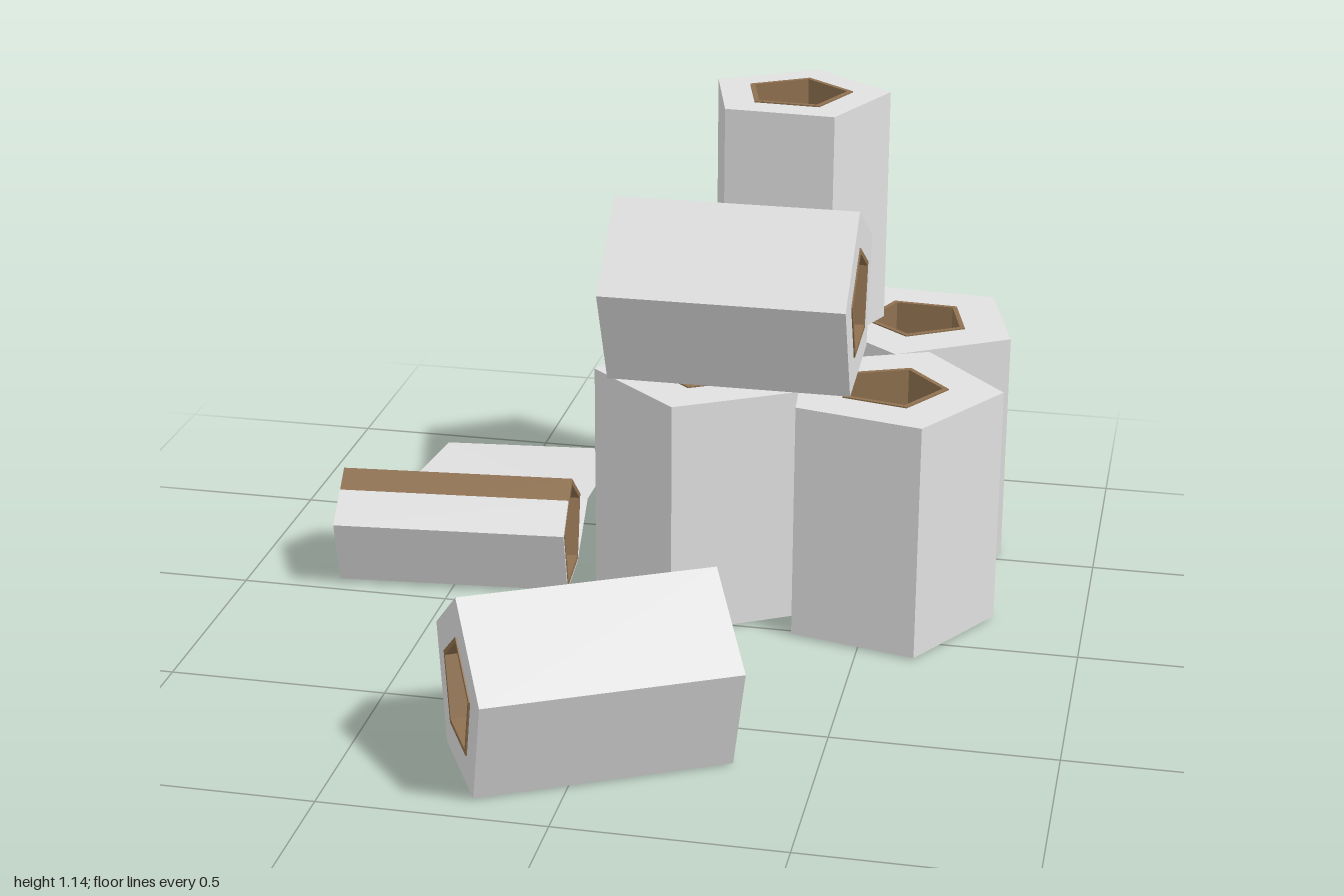
import * as THREE from 'three';

const paper = new THREE.MeshStandardMaterial({ color: 0xe0e0e0 });
paper.name = 'white paper';
const card = new THREE.MeshStandardMaterial({ color: 0x8f7150 });
card.name = 'brown cardboard';
const sheetPaper = paper.clone();
sheetPaper.name = 'white sheet paper';
sheetPaper.side = THREE.DoubleSide;

const rad = THREE.MathUtils.degToRad;
const CORE = 0.132, BORE = 0.118;

const corner = (r, deg) => new THREE.Vector2(r * Math.cos(rad(deg)), r * Math.sin(rad(deg)));
const pentagon = (r, deg) => [0, 1, 2, 3, 4].map((i) => corner(r, deg + i * 72));

// Extrudes a shape along z, centred on the origin
function extrude(name, shape, length, material) {
  const geo = new THREE.ExtrudeGeometry(shape, { depth: length, bevelEnabled: false });
  geo.translate(0, 0, -length / 2);
  const mesh = new THREE.Mesh(geo, material);
  mesh.name = name;
  return mesh;
}

// Hollow five-sided prism
function ring(name, outer, inner, deg, length, material) {
  const shape = new THREE.Shape(pentagon(outer, deg));
  shape.holes.push(new THREE.Path(pentagon(inner, deg).reverse()));
  return extrude(name, shape, length, material);
}

// Full roll: paper around a cardboard core
function roll(name, r, deg) {
  const g = new THREE.Group();
  g.name = name;
  g.add(ring('paperWrap', r, CORE, deg, 0.565, paper));
  g.add(ring('cardboardCore', CORE, BORE, deg, 0.571, card));
  return g;
}

// Thin sheet through rows of [left, right] points
function sheet(name, rows) {
  const tri = [];
  for (let i = 0; i < rows.length - 1; i++) {
    const [a, b] = rows[i], [c, d] = rows[i + 1];
    tri.push(...a, ...b, ...c, ...b, ...d, ...c);
  }
  const geo = new THREE.BufferGeometry();
  geo.setAttribute('position', new THREE.Float32BufferAttribute(tri, 3));
  geo.computeVertexNormals();
  const mesh = new THREE.Mesh(geo, sheetPaper);
  mesh.name = name;
  return mesh;
}

export function createModel() {
  const model = new THREE.Group();
  model.name = 'paperRollPile';

  // Standing rolls: name, radius, x, y, z, turn of one corner from +x towards +z
  const standing = [
    ['backRightRoll', 0.257, 0.03, 0.287, -0.635, 0],
    ['backLeftRoll', 0.257, 0.535, 0.287, -0.619, 22.4],
    ['frontLeftRoll', 0.257, 0.534, 0.287, -0.145, -4.9],
    ['frontRightRoll', 0.257, 0.093, 0.287, -0.176, 24],
    ['topStandingRoll', 0.222, 0.239, 0.856, -0.556, -14],
  ];
  for (const [name, r, x, y, z, deg] of standing) {
    const g = roll(name, r, -deg);
    g.rotation.x = -Math.PI / 2;
    g.position.set(x, y, z);
    model.add(g);
  }

  // Rolls lying on their sides
  const stacked = roll('topLyingRoll', 0.222, 96.5);
  stacked.rotation.y = Math.PI / 2;
  stacked.position.set(0.17, 0.769, -0.162);
  model.add(stacked);

  const loose = roll('looseLyingRoll', 0.222, 90);
  loose.rotation.y = rad(117.6);
  loose.position.set(0.01, 0.183, 0.679);
  model.add(loose);

  // Nearly empty roll: bare core with a last band of paper round its front and base
  const empty = new THREE.Group();
  empty.name = 'emptyRoll';
  empty.rotation.y = rad(94.9);
  empty.position.set(-0.504, 0.128, -0.148);
  empty.add(ring('cardboardCore', 0.136, 0.12, 90, 0.556, card));
  const arc = (r) => [corner(r, 90).lerp(corner(r, 162), 0.42), corner(r, 162), corner(r, 234), corner(r, 306)];
  const band = new THREE.Shape([...arc(0.146), ...arc(0.136).reverse()]);
  empty.add(extrude('lastPaperBand', band, 0.554, paper));
  model.add(empty);

  // Unrolled sheet running back along the ground with one crease
  model.add(sheet('unrolledSheet', [
    [[-0.788, 0.01, -0.21], [-0.236, 0.01, -0.257]],
    [[-0.752, 0.05, -0.54], [-0.277, 0.05, -0.543]],
    [[-0.757, 0, -0.95], [-0.298, 0, -0.997]],
  ]));

  return model;
}
